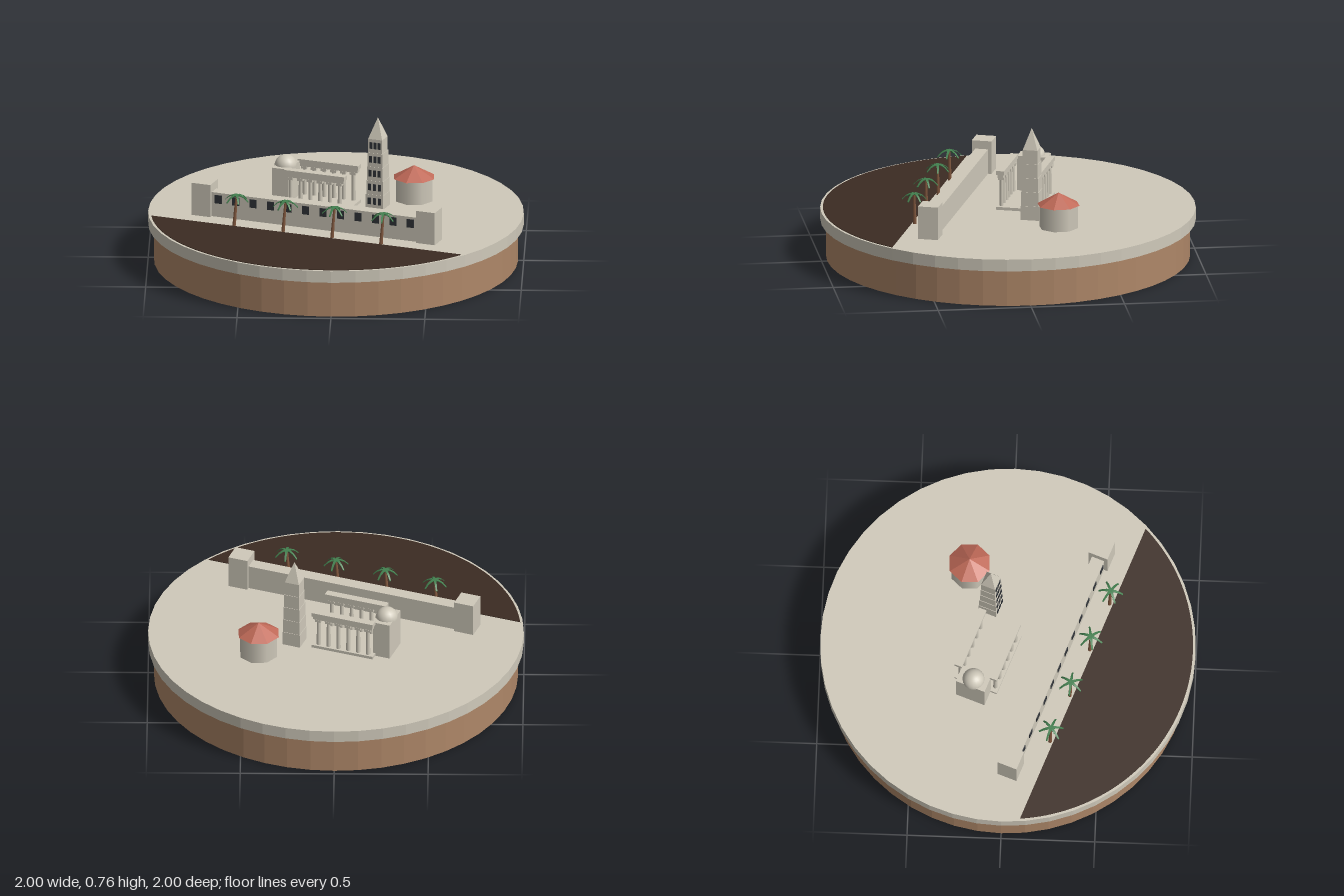
import * as THREE from 'three';

const mat = (name, color, extra = {}) => {
  const m = new THREE.MeshStandardMaterial({ color, ...extra });
  m.name = name;
  return m;
};

export function createModel() {
  const stone = mat('stone', 0xcfc9ba);
  const stoneFlat = mat('stone', 0xcfc9ba, { flatShading: true });
  const earth = mat('earth', 0xae8768, { flatShading: true });
  const soil = mat('dark soil', 0x3b2b22);
  const glass = mat('dark window', 0x303338);
  const roofRed = mat('roof red', 0xc06a58, { flatShading: true });
  const bark = mat('bark', 0x845a40);
  const leaf = mat('palm green', 0x43804f, { side: THREE.DoubleSide });

  const root = new THREE.Group();
  root.name = 'islandTown';
  const add = (parent, name, geo, material, x = 0, y = 0, z = 0) => {
    const m = new THREE.Mesh(geo, material);
    m.name = name;
    m.position.set(x, y, z);
    parent.add(m);
    return m;
  };
  const group = (parent, name, x = 0, y = 0, z = 0) => {
    const g = new THREE.Group();
    g.name = name;
    g.position.set(x, y, z);
    parent.add(g);
    return g;
  };
  // box standing on height y
  const block = (parent, name, w, h, d, x, y, z, material = stone) =>
    add(parent, name, new THREE.BoxGeometry(w, h, d), material, x, y + h / 2, z);

  // round base: earth below, stone disc above
  add(root, 'earthBase', new THREE.CylinderGeometry(0.97, 0.97, 0.2, 48), earth, 0, 0.1, 0);
  add(root, 'stoneDisc', new THREE.CylinderGeometry(1, 1, 0.065, 48), stoneFlat, 0, 0.2325, 0);

  // everything on the disc shares one skewed street grid
  const town = group(root, 'town', 0, 0.265, 0);
  town.rotation.y = -THREE.MathUtils.degToRad(20);

  // dark ground segment in front of the wall
  const r = 0.985, a = Math.asin(0.43 / r);
  const segment = new THREE.Shape();
  segment.absarc(0, 0, r, Math.PI + a, 2 * Math.PI - a, false);
  segment.closePath();
  const ground = new THREE.ExtrudeGeometry(segment, { depth: 0.003, bevelEnabled: false, curveSegments: 32 });
  ground.rotateX(-Math.PI / 2);
  add(town, 'darkGround', ground, soil);

  // long wall with end towers and a row of windows
  const wall = group(town, 'longWall', 0, 0, 0.278);
  block(wall, 'wallBody', 1.2, 0.135, 0.07, 0, 0, 0);
  for (const s of [-1, 1]) block(wall, 'endTower', 0.108, 0.18, 0.108, s * 0.642, 0, 0);
  for (let i = 0; i < 12; i++)
    block(wall, 'wallWindow', 0.04, 0.046, 0.006, -0.55 + i * 0.1, 0.076, 0.036, glass);

  // open temple: floor, two colonnades with beams
  const temple = group(town, 'temple', -0.107, 0, -0.072);
  block(temple, 'templeFloor', 0.347, 0.016, 0.243, 0, 0, 0);
  const column = new THREE.CylinderGeometry(0.01, 0.012, 0.145, 10);
  for (const s of [-1, 1]) {
    const z = s * 0.1;
    for (let i = 0; i < 6; i++) {
      const x = -0.14 + i * 0.056;
      add(temple, 'column', column, stone, x, 0.0885, z);
      block(temple, 'capital', 0.032, 0.014, 0.032, x, 0.161, z);
    }
    block(temple, 'beam', 0.335, 0.018, 0.03, 0, 0.175, z);
    block(temple, 'cornice', 0.347, 0.022, 0.042, 0, 0.193, z);
  }

  // domed chapel at the temple's end
  const chapel = group(town, 'domedChapel', -0.315, 0, -0.07);
  block(chapel, 'chapelBody', 0.095, 0.206, 0.165, 0, 0, 0);
  add(chapel, 'dome', new THREE.SphereGeometry(0.06, 16, 8, 0, Math.PI * 2, 0, Math.PI / 2), stone, 0, 0.2, 0);

  // tiered bell tower
  const tower = group(town, 'bellTower', 0.173, 0, -0.169);
  const tierH = 0.077;
  for (let i = 0; i < 5; i++) {
    const w = 0.1 - i * 0.005;
    block(tower, 'towerTier', w, tierH, w, 0, i * tierH, 0);
    for (const s of [-1, 0, 1])
      block(tower, 'towerWindow', 0.016, 0.036, 0.006, s * w * 0.29, i * tierH + 0.024, w / 2 + 0.001, glass);
  }
  const spire = new THREE.ConeGeometry(0.08 / Math.SQRT2, 0.113, 4, 1);
  spire.rotateY(Math.PI / 4);
  add(tower, 'spire', spire, stoneFlat, 0, 5 * tierH + 0.0565, 0);

  // round hall with an eight-sided roof
  const hall = group(town, 'roundHall', 0.31, 0, -0.347);
  add(hall, 'hallBody', new THREE.CylinderGeometry(0.105, 0.105, 0.128, 8), stone, 0, 0.064, 0);
  add(hall, 'hallRoof', new THREE.ConeGeometry(0.115, 0.066, 8), roofRed, 0, 0.158, 0);

  // palm frond: a blade that tapers and droops along its length
  const frond = new THREE.BoxGeometry(0.066, 0.004, 0.016, 3, 1, 1);
  frond.translate(0.033, 0, 0);
  const p = frond.attributes.position;
  for (let i = 0; i < p.count; i++) {
    const t = p.getX(i) / 0.066;
    p.setY(i, p.getY(i) + 0.02 * t - 0.05 * t * t);
    p.setZ(i, p.getZ(i) * (1 - 0.5 * t));
  }
  frond.computeVertexNormals();

  // four leaning palms in front of the wall
  for (let k = 0; k < 4; k++) {
    const palm = group(town, 'palm', -0.42 + k * 0.28, 0, 0.413);
    const trunk = new THREE.CylinderGeometry(0.006, 0.01, 0.17, 7);
    trunk.translate(0, 0.085, 0);
    add(palm, 'trunk', trunk, bark).rotation.z = -0.085;
    const crown = group(palm, 'crown', 0.0145, 0.17, 0);
    for (let i = 0; i < 6; i++)
      add(crown, 'frond', frond, leaf).rotation.y = i * Math.PI / 3 + k * 0.25;
  }

  return root;
}
